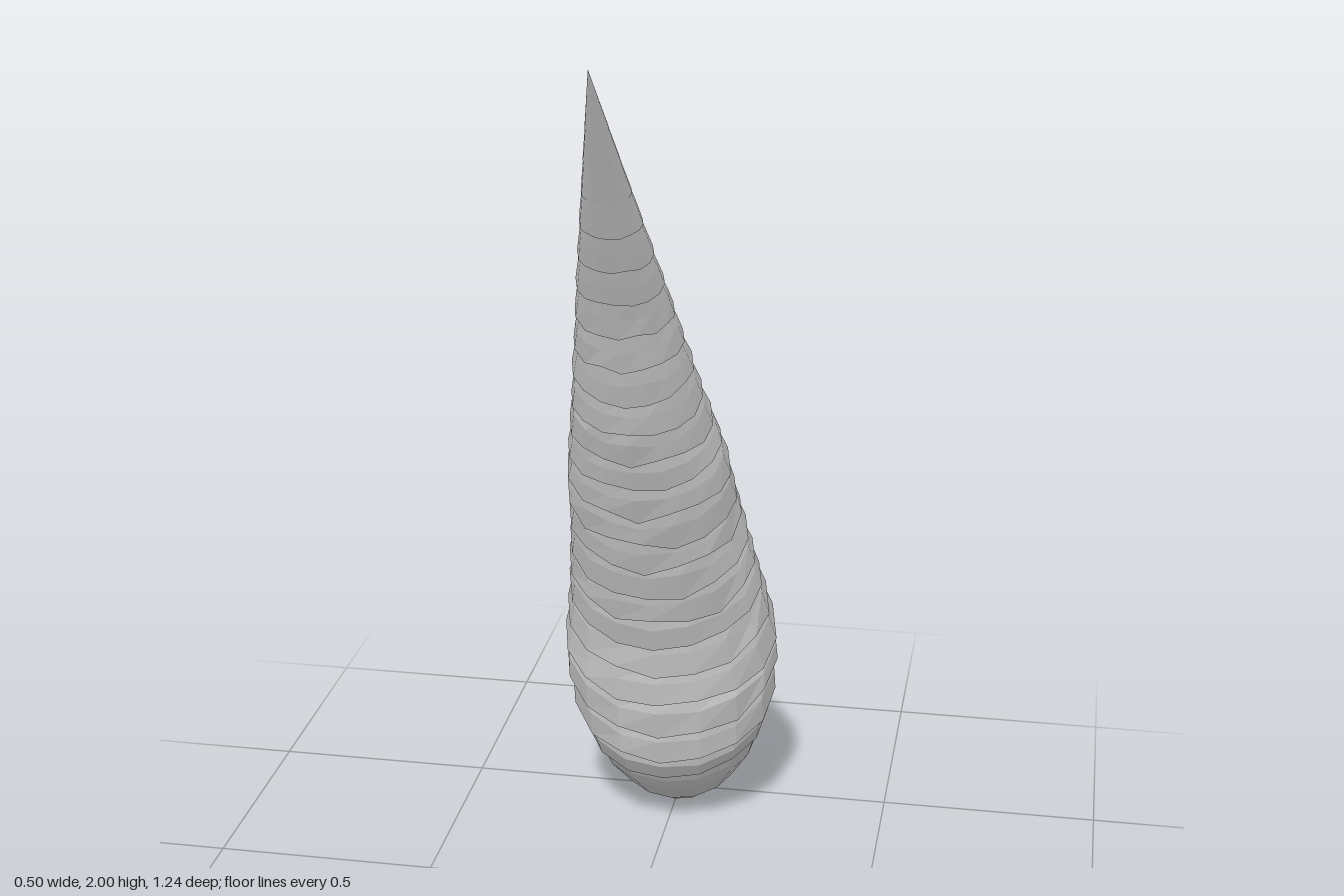
import * as THREE from 'three';

// Horn profile along its axis: [distance, front edge, back edge, half width]
const PROFILE = [
  [0, -0.1, 0.1, 0.105], [0.06, -0.135, 0.145, 0.15], [0.15, -0.165, 0.205, 0.195],
  [0.29, -0.187, 0.267, 0.232], [0.44, -0.152, 0.295, 0.243], [0.63, -0.1, 0.278, 0.213],
  [0.86, -0.08, 0.247, 0.185], [1.1, -0.068, 0.208, 0.165], [1.33, -0.062, 0.17, 0.13],
  [1.62, -0.027, 0.108, 0.092], [1.9, -0.015, 0.06, 0.053], [2.252, 0, 0, 0],
];
const SIDES = 16;
const LENGTH = 2.252;
const BASE = new THREE.Vector3(0, 0.055, -0.515);
const AXIS = new THREE.Vector3(0, 0.864, 0.504);
const BACK = new THREE.Vector3(0, 0.504, -0.864);

function section(s) {
  let i = 0;
  while (i < PROFILE.length - 2 && s > PROFILE[i + 1][0]) i++;
  const a = PROFILE[i], b = PROFILE[i + 1];
  const k = THREE.MathUtils.clamp((s - a[0]) / (b[0] - a[0]), 0, 1);
  return a.map((v, n) => v + (b[n] - v) * k);
}

// Small seeded noise in the range -1..1
function noise(i, j) {
  const v = Math.sin(i * 12.99 + j * 78.23) * 43758.55;
  return (v - Math.floor(v)) * 2 - 1;
}

// One loop of points; swell moves the surface, ragged shifts points along the axis
function ring(s, swell, ragged, id) {
  const [, front, back, width] = section(s);
  const mid = (front + back) / 2, depth = (back - front) / 2;
  const points = [];
  for (let i = 0; i < SIDES; i++) {
    const a = (i / SIDES) * Math.PI * 2;
    const x = Math.cos(a) * (width + swell) + 0.012 * (s / LENGTH) ** 2;
    const t = mid + Math.sin(a) * (depth + swell);
    points.push(new THREE.Vector3(x, 0, 0).addScaledVector(BACK, t)
      .addScaledVector(AXIS, s + ragged * noise(i, id)).add(BASE));
  }
  return points;
}

function skin(rings) {
  const pos = [], index = [];
  rings.forEach((r) => r.forEach((p) => pos.push(p.x, p.y, p.z)));
  for (let j = 0; j < rings.length - 1; j++) {
    for (let i = 0; i < SIDES; i++) {
      const n = (i + 1) % SIDES;
      const a = j * SIDES + i, b = j * SIDES + n, c = a + SIDES, d = b + SIDES;
      index.push(a, b, d, a, d, c);
    }
  }
  const geometry = new THREE.BufferGeometry();
  geometry.setAttribute('position', new THREE.Float32BufferAttribute(pos, 3));
  geometry.setIndex(index);
  geometry.computeVertexNormals();
  return geometry;
}

export function createModel() {
  const group = new THREE.Group();
  group.name = 'horn';
  const material = new THREE.MeshStandardMaterial({
    color: 0xcccccc, flatShading: true, side: THREE.DoubleSide,
  });

  // Smooth rounded root
  const rings = [0, 0.03, 0.06, 0.105, 0.15, 0.19].map((s, i) => ring(s, 0, 0, i));

  // Overlapping growth ridges, each with a ragged lip, fading towards the tip
  const pitch = 0.085;
  let id = 10;
  for (let s = 0.235; s < 2.15; s += pitch) {
    const fade = THREE.MathUtils.clamp((2.0 - s) / 0.9, 0.04, 1) * Math.min(1, s / 0.4);
    rings.push(ring(s, -0.008 * fade, 0.008 * fade, id++));
    rings.push(ring(s - 0.016 * fade, 0.01 * fade, 0.016 * fade, id++));
    rings.push(ring(s + pitch * 0.45, 0.004 * fade, 0.008 * fade, id++));
  }
  rings.push(ring(LENGTH, 0, 0, 0));
  const shaft = new THREE.Mesh(skin(rings), material);
  shaft.name = 'ridgedShaft';

  // Flat end of the root
  const centre = Array.from({ length: SIDES }, () => BASE.clone());
  const cap = new THREE.Mesh(skin([centre, rings[0]]), material);
  cap.name = 'rootCap';

  group.add(shaft, cap);
  return group;
}
